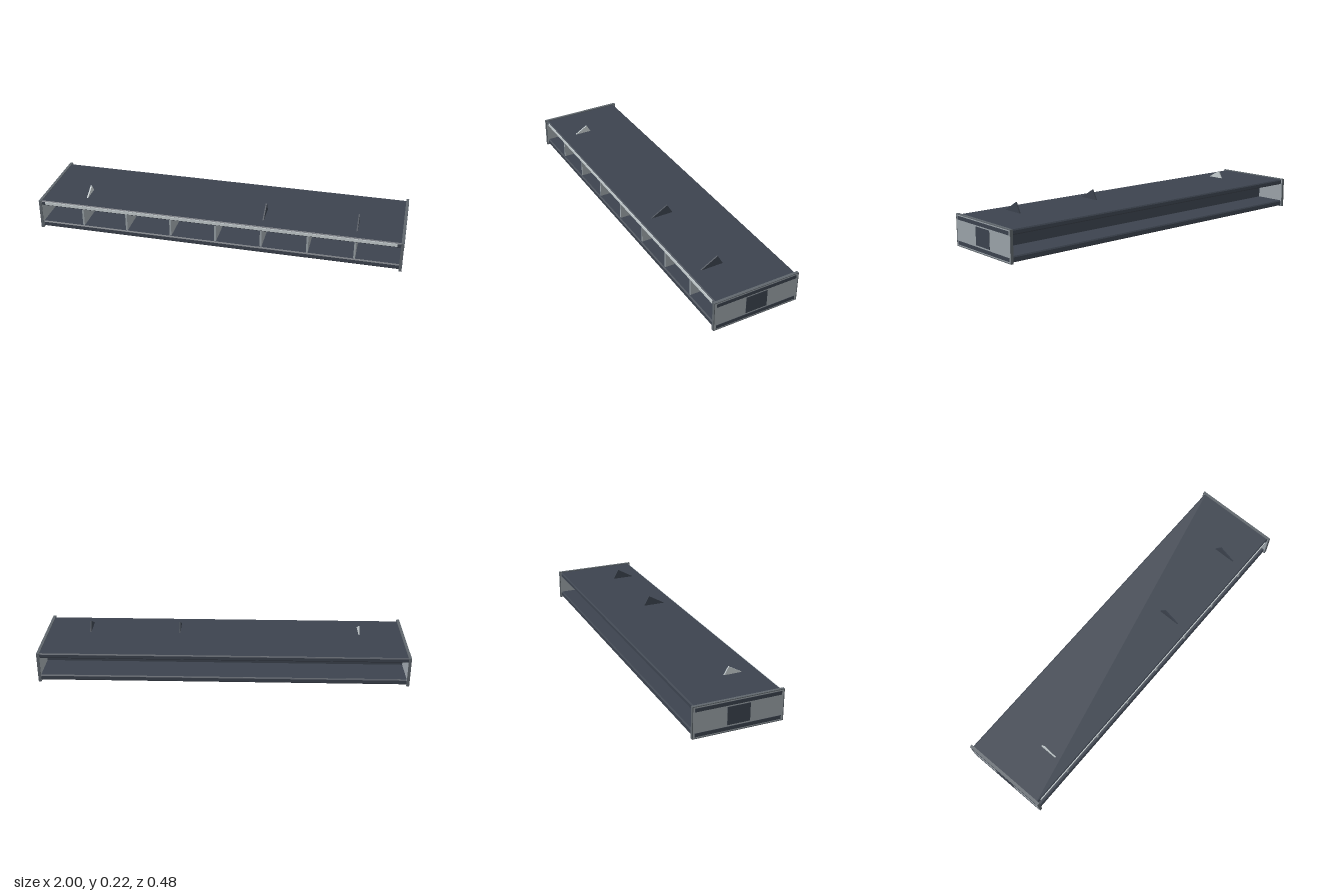
import * as THREE from 'three';

export function createModel() {
  const model = new THREE.Group();
  const mat = (name, color) => {
    const m = new THREE.MeshStandardMaterial({ color });
    m.name = name;
    return m;
  };
  const dark = mat('dark slate', 0x3c434e);
  const grey = mat('panel grey', 0x9ba3a9);
  const frame = mat('frame grey', 0x5f666c);
  const light = mat('light strip', 0xc8d0d2);

  // Box given by its minimum and maximum along each axis
  const box = (name, material, [x0, x1], [y0, y1], [z0, z1], parent = model) => {
    const mesh = new THREE.Mesh(new THREE.BoxGeometry(x1 - x0, y1 - y0, z1 - z0), material);
    mesh.position.set((x0 + x1) / 2, (y0 + y1) / 2, (z0 + z1) / 2);
    mesh.name = name;
    parent.add(mesh);
    return mesh;
  };

  // Long deck with chamfered long edges, reaching from end to end
  const deck = (name, y0, y1) => {
    const z = 0.23, c = 0.006;
    const s = new THREE.Shape([
      [-z + c, y0], [z - c, y0], [z, y0 + c], [z, y1 - c],
      [z - c, y1], [-z + c, y1], [-z, y1 - c], [-z, y0 + c],
    ].map(([a, b]) => new THREE.Vector2(a, b)));
    const g = new THREE.ExtrudeGeometry(s, { depth: 1.98, bevelEnabled: false });
    g.translate(0, 0, -0.99).rotateY(Math.PI / 2);
    const mesh = new THREE.Mesh(g, dark);
    mesh.name = name;
    model.add(mesh);
  };
  deck('lowerDeck', 0.004, 0.035);
  deck('upperDeck', 0.136, 0.164);

  // Central spine between the decks
  box('spine', dark, [-0.99, 0.99], [0.035, 0.136], [-0.06, 0.06]);

  // Bright strip along the front of the upper deck
  box('frontStrip', light, [-0.965, 0.965], [0.143, 0.159], [0.226, 0.233]);

  // Framed end panels with the dark ends of the decks and spine showing
  for (const side of [-1, 1]) {
    const end = new THREE.Group();
    end.name = side > 0 ? 'leftEnd' : 'rightEnd';
    const span = (a, b) => (side > 0 ? [a, b] : [-b, -a]);
    box('endPanel', grey, span(0.985, 0.998), [0.003, 0.165], [-0.236, 0.236], end);
    for (const [y0, y1] of [[0, 0.004], [0.164, 0.168]])
      box('frameRail', frame, span(0.984, 0.999), [y0, y1], [-0.24, 0.24], end);
    for (const z of [-0.238, 0.238])
      box('framePost', frame, span(0.984, 0.999), [0.004, 0.164], [z - 0.002, z + 0.002], end);
    for (const [y0, y1, z] of [[0.01, 0.029, 0.226], [0.139, 0.158, 0.226], [0.037, 0.132, 0.06]])
      box('endInlay', dark, span(0.997, 1), [y0, y1], [-z, z], end);
    model.add(end);
  }

  // Upright dividers in the front opening
  for (let i = -3; i <= 3; i++)
    box('divider', grey, [i * 0.25 - 0.005, i * 0.25 + 0.005], [0.034, 0.137], [0.055, 0.222]);

  // Tilted fins whose upper corners rise through the deck
  for (const [x, peak, material] of [[-0.75, 0.206, light], [0.25, 0.218, dark], [0.75, 0.218, dark]]) {
    const fin = new THREE.Mesh(new THREE.BoxGeometry(0.007, 0.12, 0.12), material);
    fin.rotation.x = Math.PI / 6;
    fin.position.set(x, peak - 0.082, 0.092);
    fin.name = 'tiltedFin';
    model.add(fin);
  }
  return model;
}
